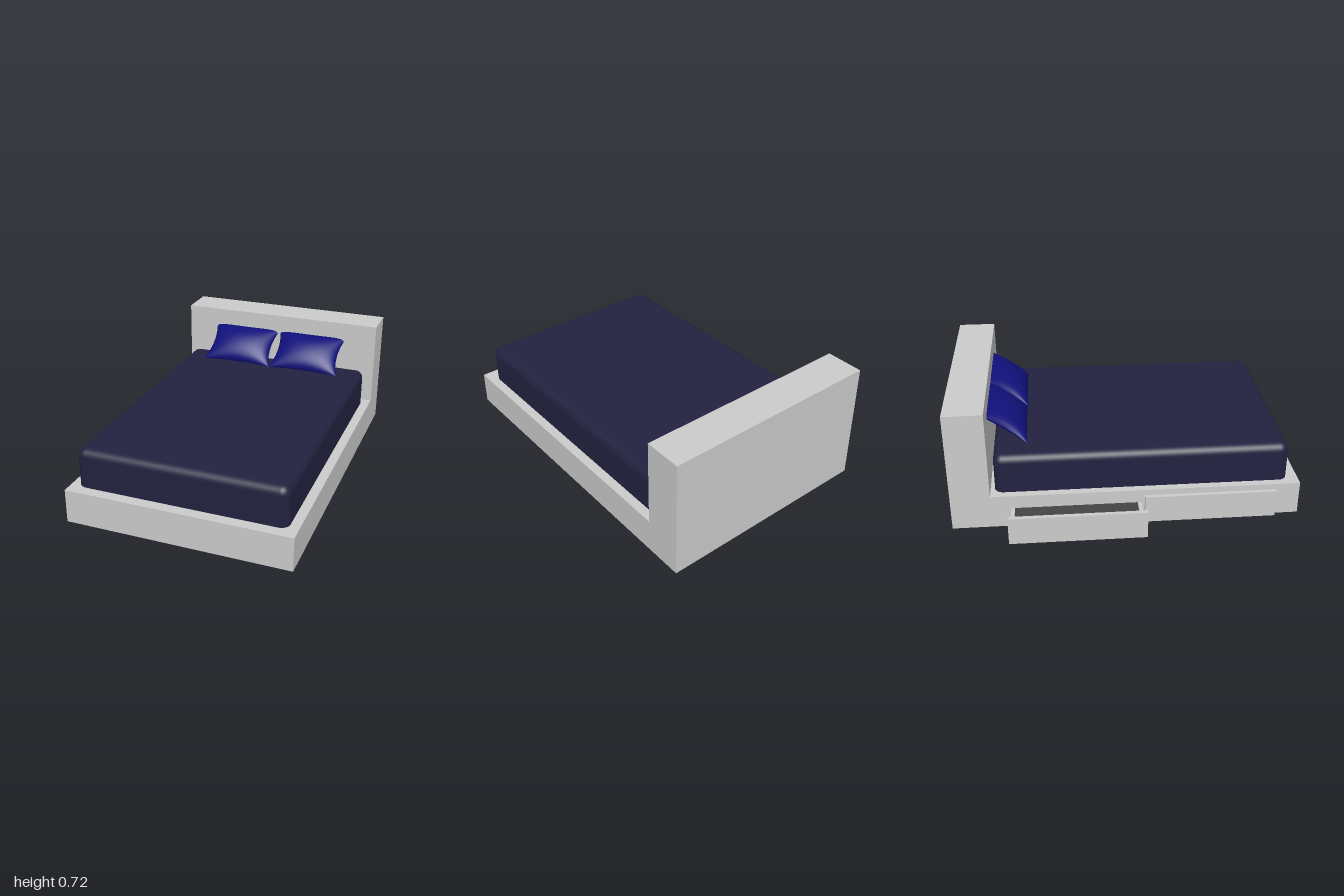
import * as THREE from 'three';
import { RoundedBoxGeometry } from 'three/addons/geometries/RoundedBoxGeometry.js';

const mat = (color) => new THREE.MeshStandardMaterial({ color });
const grey = mat(0xcccccc);
const mattressBlue = mat(0x222240);
const pillowBlue = mat(0x10107a);
const darkBoard = mat(0x444444);

// Box given by its [min, max] range on each axis
function box(parent, name, [x0, x1], [y0, y1], [z0, z1], material = grey) {
  const mesh = new THREE.Mesh(new THREE.BoxGeometry(x1 - x0, y1 - y0, z1 - z0), material);
  mesh.position.set((x0 + x1) / 2, (y0 + y1) / 2, (z0 + z1) / 2);
  mesh.name = name;
  parent.add(mesh);
  return mesh;
}

// Hollow platform, headboard and legs
function createFrame() {
  const g = new THREE.Group();
  g.name = 'frame';
  const L = -0.57, R = 0.74, back = -0.775, t = 0.008;
  box(g, 'headboard', [L, R], [0, 0.72], [-1, back]);
  box(g, 'platform', [L, R], [0.2 - t, 0.2], [back, 1]);
  box(g, 'footRail', [L, R], [0, 0.2 - t], [1 - t, 1]);
  box(g, 'leftRail', [R - t, R], [0, 0.2 - t], [back, 1 - t]);
  // The right rail leaves an opening for the pulled-out drawer
  box(g, 'rightRailFront', [L, L + t], [0, 0.2 - t], [0.08, 1 - t]);
  box(g, 'rightRailBack', [L, L + t], [0, 0.2 - t], [back, -0.66]);
  box(g, 'rightRailTop', [L, L + t], [0.12, 0.2 - t], [-0.66, 0.08]);
  for (const x of [-0.485, 0.65])
    for (const z of [-0.73, 0.885])
      box(g, 'leg', [x - 0.03, x + 0.03], [0.003, 0.2 - t], [z - 0.03, z + 0.03]);
  return g;
}

// One drawer pulled out, one shut
function createDrawers() {
  const g = new THREE.Group();
  g.name = 'drawers';
  const inner = -0.33, outer = -0.72;
  box(g, 'openDrawerFront', [-0.745, outer], [0, 0.165], [-0.675, 0.1]);
  box(g, 'drawerSide', [inner, outer].reverse(), [0, 0.12], [-0.66, -0.64]);
  box(g, 'drawerSide', [inner, outer].reverse(), [0, 0.12], [0.06, 0.08]);
  box(g, 'drawerRim', [outer, -0.7], [0, 0.12], [-0.64, 0.06]);
  box(g, 'drawerBoard', [-0.7, inner], [0.095, 0.108], [-0.64, 0.06], darkBoard);
  box(g, 'shutDrawerFront', [-0.595, -0.57], [0, 0.165], [0.1, 0.86]);
  return g;
}

// Soft-edged block, cut flat where it rests on the platform
function createMattress() {
  const bottom = 0.2, top = 0.43, extra = 0.07;
  const height = top - bottom + extra;
  const geo = new RoundedBoxGeometry(1.21, height, 1.685, 6, 0.05);
  geo.translate(0.08, top - height / 2, 0.0925);
  const p = geo.attributes.position;
  for (let i = 0; i < p.count; i++) p.setY(i, Math.max(p.getY(i), bottom));
  const mesh = new THREE.Mesh(geo, mattressBlue);
  mesh.name = 'mattress';
  return mesh;
}

// Cushion: two domed sheets meeting at a seam with drawn-in sides and pointed corners
function pillowGeometry() {
  const W = 0.23, H = 0.15, n = 20;
  const geo = new THREE.BoxGeometry(2, 2, 2, n, n, 1);
  const pos = [], index = [];
  for (const side of [1, -1]) {
    const base = pos.length / 3;
    for (let j = 0; j <= n; j++)
      for (let i = 0; i <= n; i++) {
        // Sine spacing gathers rows near the seam
        const u = Math.sin((i / n - 0.5) * Math.PI), v = Math.sin((j / n - 0.5) * Math.PI);
        const dome = Math.pow(Math.max(0, (1 - u * u) * (1 - v * v)), 0.5);
        pos.push(
          u * W * (1 - 0.12 * (1 - v * v)),
          v * H * (1 - 0.08 * (1 - u * u)),
          side * dome * (side > 0 ? 0.07 : 0.04)
        );
      }
    for (let j = 0; j < n; j++)
      for (let i = 0; i < n; i++) {
        const a = base + j * (n + 1) + i, b = a + 1, c = a + n + 1, d = c + 1;
        if (side > 0) index.push(a, b, d, a, d, c);
        else index.push(a, d, b, a, c, d);
      }
  }
  geo.dispose();
  const out = new THREE.BufferGeometry();
  out.setAttribute('position', new THREE.Float32BufferAttribute(pos, 3));
  out.setIndex(index);
  out.computeVertexNormals();
  return out;
}

export function createModel() {
  const model = new THREE.Group();
  model.name = 'bed';
  model.add(createFrame(), createDrawers(), createMattress());

  // Two pillows leaning on the headboard
  const geo = pillowGeometry();
  for (const x of [-0.15, 0.31]) {
    const pillow = new THREE.Mesh(geo, pillowBlue);
    pillow.name = 'pillow';
    pillow.position.set(x, 0.52, -0.678);
    pillow.rotation.x = -0.94;
    model.add(pillow);
  }
  return model;
}
